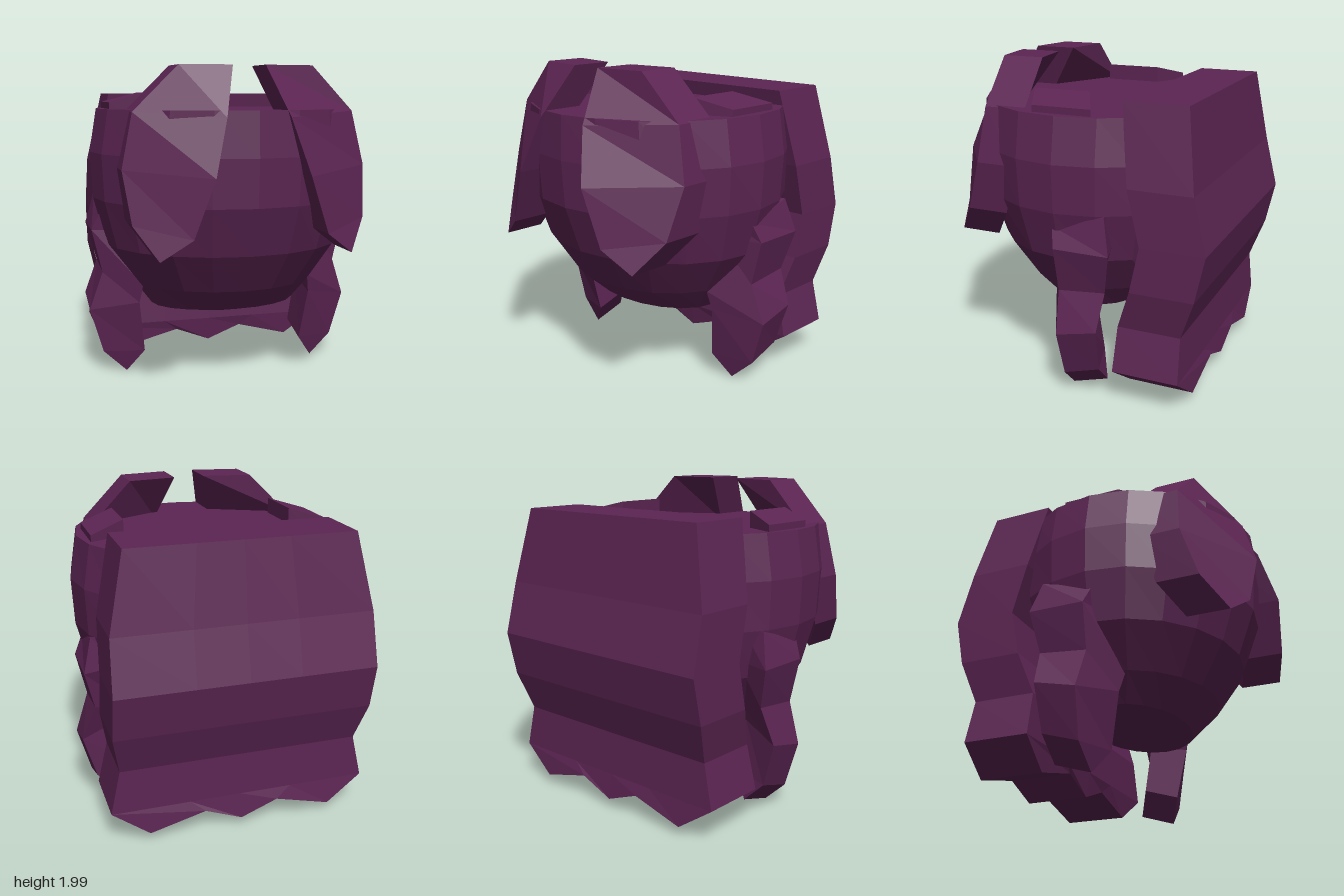
import * as THREE from 'three';

const hair = new THREE.MeshStandardMaterial({ color: 0x5c2553 });
hair.name = 'plum hair';

// Closed slab between two matching grids of points (rows top to bottom, columns left to right)
function slab(front, back) {
  const out = [];
  const tri = (a, b, c) => {
    const [A, B, C] = [a, b, c].map((p) => new THREE.Vector3(...p));
    if (B.clone().sub(A).cross(C.clone().sub(A)).length() > 1e-6) out.push(...a, ...b, ...c);
  };
  const quad = (a, b, c, d) => { tri(a, b, c); tri(a, c, d); };
  const R = front.length - 1, C = front[0].length - 1;
  for (let r = 0; r < R; r++) {
    for (let c = 0; c < C; c++) {
      quad(front[r][c], front[r + 1][c], front[r + 1][c + 1], front[r][c + 1]);
      quad(back[r][c + 1], back[r + 1][c + 1], back[r + 1][c], back[r][c]);
    }
    quad(back[r][0], back[r + 1][0], front[r + 1][0], front[r][0]);
    quad(front[r][C], front[r + 1][C], back[r + 1][C], back[r][C]);
  }
  for (let c = 0; c < C; c++) {
    quad(back[0][c], front[0][c], front[0][c + 1], back[0][c + 1]);
    quad(front[R][c], back[R][c], back[R][c + 1], front[R][c + 1]);
  }
  const g = new THREE.BufferGeometry();
  g.setAttribute('position', new THREE.Float32BufferAttribute(out, 3));
  g.computeVertexNormals();
  return g;
}

const mirror = (grid) => grid.map((row) => row.map(([x, y, z]) => [-x, y, z]).reverse());
const shift = (grid, f) => grid.map((row, r) => row.map((p) => f(p, r)));

export function createModel() {
  const model = new THREE.Group();
  const add = (name, geometry) => {
    const m = new THREE.Mesh(geometry, hair);
    m.name = name;
    model.add(m);
  };
  const addPair = (name, front, back) => {
    add(name + 'Left', slab(front, back));
    add(name + 'Right', slab(mirror(front), mirror(back)));
  };

  // Rounded cap with a flat top: y, half width, half depth; flattened at the back
  const rings = [
    [0.38, 0, 0], [0.47, 0.48, 0.32], [0.63, 0.6, 0.51], [0.88, 0.77, 0.68],
    [1.18, 0.85, 0.79], [1.47, 0.865, 0.81], [1.74, 0.82, 0.8], [1.74, 0, 0],
  ];
  let cap = new THREE.LatheGeometry(rings.map(([y, x]) => new THREE.Vector2(x, y)), 20);
  const pos = cap.attributes.position;
  for (let i = 0; i < pos.count; i++) {
    const [, rx, rz] = rings[i % rings.length];
    if (rx) pos.setZ(i, Math.max(pos.getZ(i) * rz / rx, -0.46));
  }
  cap = cap.toNonIndexed();
  cap.computeVertexNormals();
  add('cap', cap);

  // Thick back curtain with a zigzag hem: y, half width, front z
  const backRows = [
    [1.83, 0.69, -0.36], [1.36, 0.79, -0.43], [1.03, 0.8, -0.51], [0.75, 0.8, -0.45],
    [0.5, 0.75, -0.36], [0.23, 0.81, -0.35], [0.07, 0.58, -0.37],
  ];
  const curtain = backRows.map(([y, w, z], r) => [-1, -0.4, 0, 0.4, 1].map((t) =>
    [t * w, r === 6 && Math.abs(t) === 0.4 ? 0.16 : y, z]));
  add('backCurtain', slab(curtain, shift(curtain, ([x, y, z], r) => [x, y, z - (r > 4 ? 0.41 : 0.39)])));

  // Curved front bangs tapering to a point
  const bang = [
    [[0.1, 2, 0.6], [0.41, 2, 0.55]],
    [[0.19, 1.7, 0.8], [0.68, 1.73, 0.53]],
    [[0.28, 1.37, 0.9], [0.75, 1.4, 0.56]],
    [[0.4, 1.03, 0.87], [0.71, 1.09, 0.66]],
    [[0.58, 0.9, 0.8], [0.58, 0.9, 0.8]],
  ];
  addPair('bang', bang, shift(bang, ([x, y, z]) => [x, y, z - 0.265]));

  // Wavy side locks, tilting up and narrowing toward the back
  const lock = [
    [[0.62, 1.1, 0.06], [0.81, 1.09, 0.03]],
    [[0.6, 0.97, 0.08], [0.865, 0.97, 0]],
    [[0.56, 0.62, 0.14], [0.8, 0.69, 0]],
    [[0.58, 0.5, 0.11], [0.885, 0.44, -0.02]],
    [[0.54, 0.16, 0.05], [0.8, 0.15, -0.03]],
    [[0.65, 0.01, -0.02], [0.65, 0.01, -0.02]],
  ];
  const depth = [0.33, 0.35, 0.3, 0.26, 0.23, 0.23];
  const rise = [0.09, 0, 0.03, 0.06, 0.07, 0.07];
  addPair('sideLock', lock, shift(lock, ([x, y, z], r) => [x, y + rise[r], z - depth[r]]));

  // Low wedges where the side hair breaks through the crown
  const wedge = [
    [[0.54, 1.84, -0.09], [0.76, 1.78, -0.2]],
    [[0.54, 1.84, 0.27], [0.76, 1.78, 0.17]],
  ];
  addPair('crownWedge', wedge, shift(wedge, ([x, , z]) => [x, 1.6, z]));

  return model;
}
